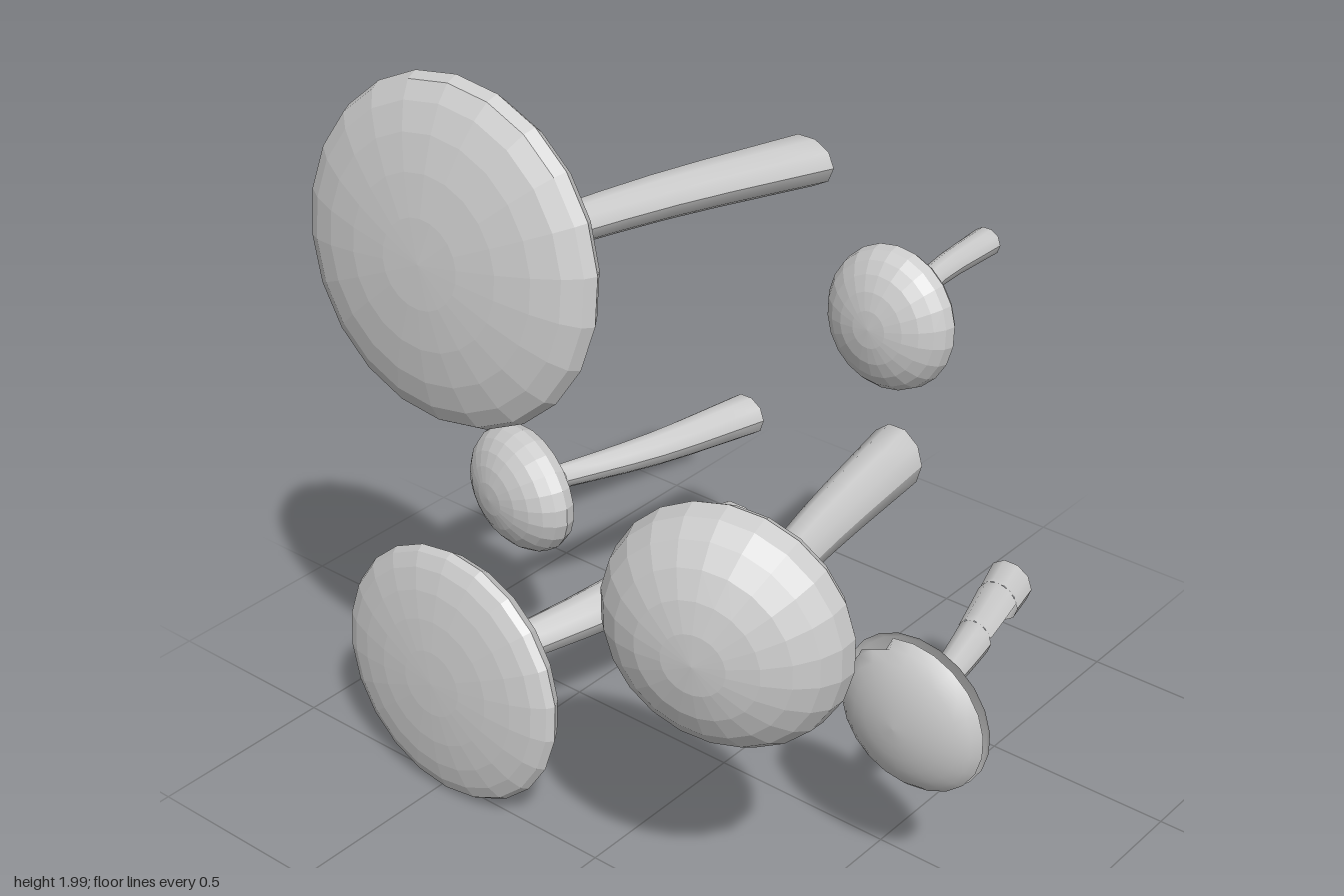
import * as THREE from 'three';

const solid = new THREE.MeshStandardMaterial({ color: 0xcccccc, flatShading: true });
const thin = new THREE.MeshStandardMaterial({ color: 0xcccccc, side: THREE.DoubleSide });

// Lathe about z: profile entries are [radius, depth]
function disc(profile, rx, ry, material, name) {
  const geo = new THREE.LatheGeometry(profile.map(([r, d]) => new THREE.Vector2(r, d)), 22);
  geo.rotateX(Math.PI / 2).scale(rx, ry, 1);
  const mesh = new THREE.Mesh(geo, material);
  mesh.name = name;
  return mesh;
}

// Rounded front of a cap, from the rim to the crown
function dome(h, from = 0) {
  const points = [];
  for (let i = 0; i <= 6; i++) {
    const a = from + (Math.PI / 2 - from) * i / 6;
    points.push([Math.cos(a), h * Math.sin(a)]);
  }
  return points;
}

// Flaring open tube along a curve; t0..t1 and a0..a0+sweep select a piece of it
function stem(path, r0, rx, ry, t0 = 0, t1 = 1, a0 = 0, sweep = Math.PI * 2) {
  const curve = new THREE.CatmullRomCurve3(path.map(p => new THREE.Vector3(...p)));
  const sides = Math.max(4, Math.round(10 * sweep / (Math.PI * 2)));
  const geo = new THREE.CylinderGeometry(1, 1, 1, sides, 6, true);
  const pos = geo.attributes.position, uv = geo.attributes.uv;
  for (let i = 0; i < pos.count; i++) {
    const t = t0 + (t1 - t0) * (1 - uv.getY(i));
    const a = a0 + sweep * uv.getX(i);
    const c = curve.getPoint(t);
    pos.setXYZ(i, c.x + (r0 + (rx - r0) * t) * Math.cos(a),
      c.y + (r0 + (ry - r0) * t) * Math.sin(a), c.z);
  }
  geo.computeVertexNormals();
  const mesh = new THREE.Mesh(geo, thin);
  mesh.name = 'stem';
  return mesh;
}

// Whole mushrooms: cap centre, facing, radii, crown and underside depth, stem path and radii
const mushrooms = [
  { name: 'largeUpperMushroom', at: [-0.28, 1.6, 0.6], facing: [0.05, 0.11, 1], r: [0.41, 0.405], h: 0.11, b: 0.14,
    path: [[-0.25, 1.58, 0.48], [-0.2, 1.545, 0], [-0.135, 1.495, -0.485]], s: [0.045, 0.085, 0.065] },
  { name: 'largeLowerMushroom', at: [-0.47, 0.35, 0.495], facing: [0, 0.07, 1], r: [0.35, 0.342], h: 0.075, b: 0.12,
    path: [[-0.44, 0.355, 0.39], [-0.35, 0.37, 0], [-0.32, 0.375, -0.45]], s: [0.045, 0.09, 0.085] },
  { name: 'mediumMushroom', at: [0.445, 0.9, 0.53], facing: [0.25, 0, 1], r: [0.302, 0.3], h: 0.19, b: 0.12,
    path: [[0.41, 0.87, 0.42], [0.285, 0.82, 0], [0.19, 0.79, -0.45]], s: [0.045, 0.08, 0.088] },
  { name: 'smallUpperMushroom', at: [0.445, 1.42, -0.05], facing: [0.03, 0.06, 1], r: [0.165, 0.172], h: 0.1, b: 0.06,
    path: [[0.44, 1.415, -0.1], [0.385, 1.41, -0.3], [0.35, 1.39, -0.565]], s: [0.022, 0.04, 0.036] },
  { name: 'smallLowerMushroom', at: [-0.69, 0.57, -0.02], facing: [-0.25, 0, 1], r: [0.2, 0.17], h: 0.115, b: 0.1,
    path: [[-0.655, 0.57, -0.11], [-0.575, 0.555, -0.4], [-0.515, 0.543, -0.73]], s: [0.033, 0.062, 0.06] },
];

function mushroom({ name, at, facing, r, h, b, path, s }) {
  const group = new THREE.Group();
  group.name = name;
  const cap = disc([[0, -b], [0.5, -0.63 * b], [0.93, -0.3 * b], ...dome(h)], r[0], r[1], solid, 'cap');
  cap.position.set(...at);
  cap.quaternion.setFromUnitVectors(new THREE.Vector3(0, 0, 1), new THREE.Vector3(...facing).normalize());
  group.add(cap, stem(path, ...s));
  return group;
}

// Broken mushroom: the rim of its cap and the underside of its stem are missing
function brokenMushroom() {
  const group = new THREE.Group();
  group.name = 'brokenMushroom';
  const back = disc([[0, -0.03], [0.5, -0.01], [0.93, 0.01], [1, 0.02]], 0.205, 0.2, thin, 'capUnderside');
  back.position.set(0.67, 0.54, 0.1);
  const front = disc(dome(0.11, 0.35), 0.215, 0.21, thin, 'capFront');
  front.position.set(0.67, 0.54, 0.105);
  // Torn edge on the lower left of the crown
  const pos = front.geometry.attributes.position;
  for (let i = 0; i < pos.count; i++) {
    const x = pos.getX(i), y = pos.getY(i), a = Math.atan2(y, x);
    if (Math.hypot(x, y) > 0.185 && x < -0.08) {
      const k = 0.86 + 0.08 * Math.sin(a * 11);
      pos.setXY(i, x * k, y * k);
    }
  }
  front.geometry.computeVertexNormals();
  const path = [[0.665, 0.535, 0.085], [0.585, 0.51, -0.22], [0.485, 0.488, -0.55]];
  const s = [0.03, 0.065, 0.057];
  group.add(back, front,
    stem(path, ...s, 0, 0.56),
    stem(path, ...s, 0.56, 0.84, Math.PI * 0.1, Math.PI * 0.8),
    stem(path, ...s, 0.84, 1));
  return group;
}

export function createModel() {
  const model = new THREE.Group();
  model.name = 'mushroomCluster';
  mushrooms.forEach(m => model.add(mushroom(m)));
  model.add(brokenMushroom());
  return model;
}
